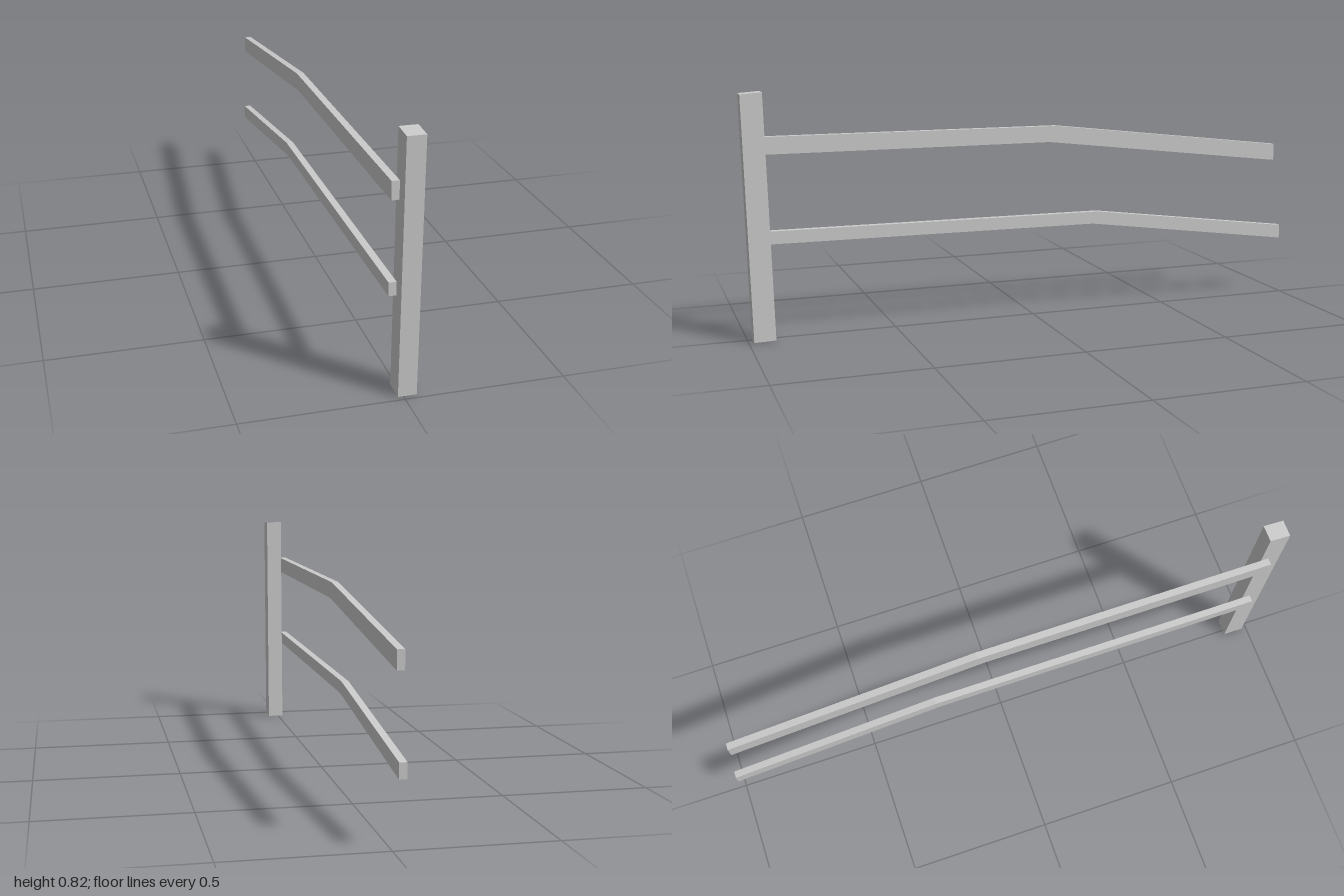
import * as THREE from 'three';

const material = new THREE.MeshStandardMaterial({ color: 0xcccccc, flatShading: true, side: THREE.DoubleSide });

const POST_SIDE = -0.017; // plane where the rails meet the post
const HALF_WIDTH = 0.041;

// Slightly leaning square post, open underneath
function createPost() {
  const width = HALF_WIDTH - POST_SIDE;
  const geometry = new THREE.BoxGeometry(width, 1, 1);
  const position = geometry.attributes.position;
  for (let i = 0; i < position.count; i++) {
    const top = position.getY(i) > 0;
    const front = position.getZ(i) > 0;
    position.setY(i, top ? (front ? 0.814 : 0.819) : (front ? 0 : 0.002));
    position.setZ(i, top ? (front ? 1.0 : 0.929) : (front ? 0.983 : 0.911));
  }
  // Leave out the bottom face (fourth side of the box)
  const index = Array.from(geometry.index.array);
  index.splice(18, 6);
  geometry.setIndex(index);
  geometry.clearGroups();
  geometry.translate(POST_SIDE + width / 2, 0, 0);
  geometry.computeVertexNormals();
  const post = new THREE.Mesh(geometry, material);
  post.name = 'post';
  return post;
}

// Flat rail with one downward bend, outlined as [z, y] and extruded across x
function createRail(name, outline) {
  const shape = new THREE.Shape(outline.map(([z, y]) => new THREE.Vector2(z, y)));
  const geometry = new THREE.ExtrudeGeometry(shape, { depth: HALF_WIDTH + POST_SIDE, bevelEnabled: false });
  geometry.rotateY(-Math.PI / 2);
  geometry.translate(POST_SIDE, 0, 0);
  const rail = new THREE.Mesh(geometry, material);
  rail.name = name;
  return rail;
}

export function createModel() {
  const fence = new THREE.Group();
  fence.name = 'fenceSection';
  fence.add(
    createPost(),
    createRail('upperRail', [
      [0.953, 0.611], [0.953, 0.669], [-0.095, 0.666],
      [-0.965, 0.564], [-0.965, 0.504], [-0.07, 0.61],
    ]),
    createRail('lowerRail', [
      [0.947, 0.313], [0.947, 0.356], [-0.255, 0.351],
      [-1.0, 0.253], [-1.0, 0.204], [-0.235, 0.308],
    ]),
  );
  return fence;
}
